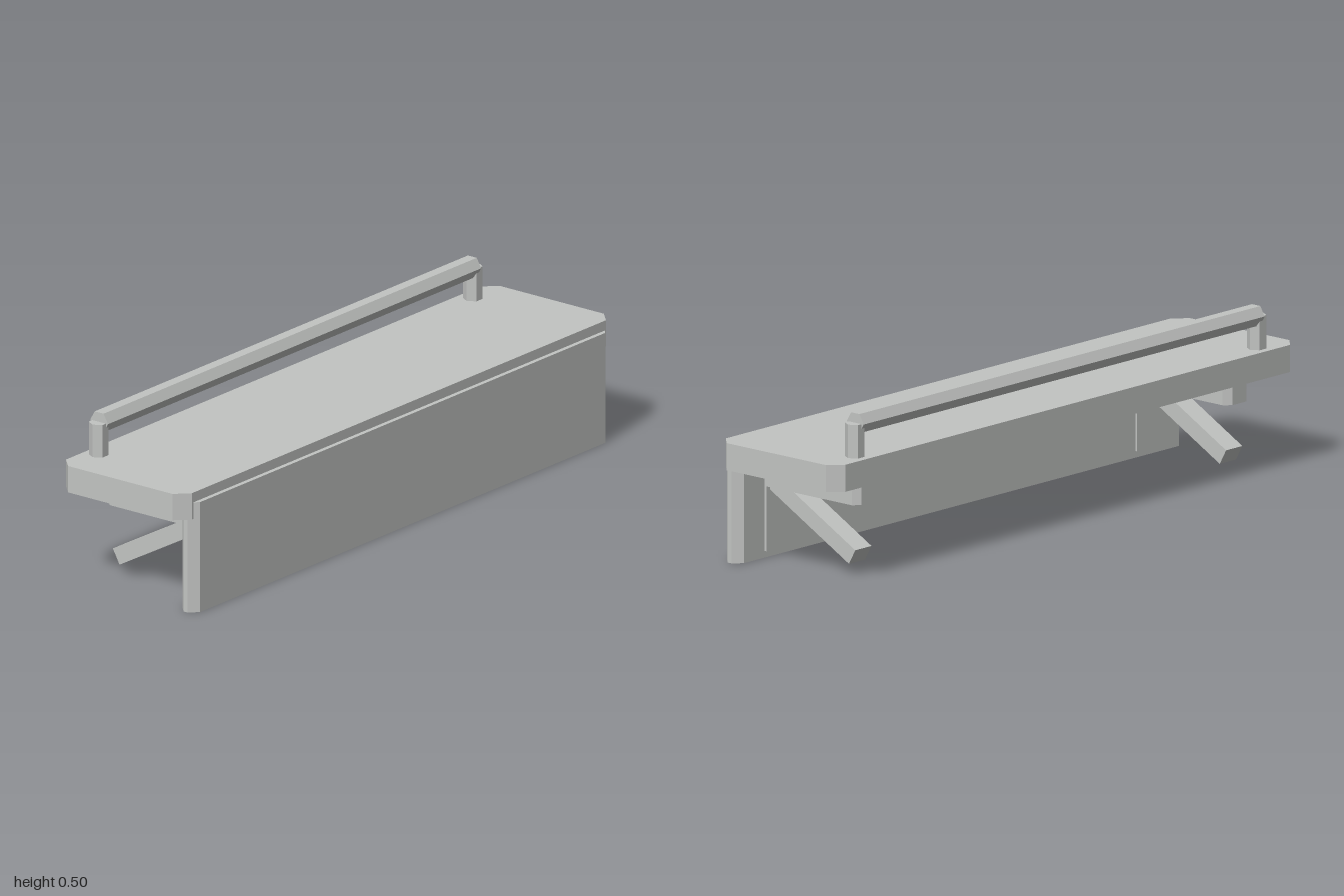
import * as THREE from 'three';

const grey = new THREE.MeshStandardMaterial({ color: 0xc2c4c2 });
grey.name = 'grey';

function part(name, geometry, x = 0, y = 0, z = 0) {
  const mesh = new THREE.Mesh(geometry, grey);
  mesh.name = name;
  mesh.position.set(x, y, z);
  return mesh;
}

// Upright block whose four vertical corners are cut off by c
function chamferedSlab(width, height, depth, c) {
  const w = width / 2, d = depth / 2;
  const shape = new THREE.Shape([
    [w - c, -d], [w, -d + c], [w, d - c], [w - c, d],
    [-w + c, d], [-w, d - c], [-w, -d + c], [-w + c, -d],
  ].map(([x, y]) => new THREE.Vector2(x, y)));
  return new THREE.ExtrudeGeometry(shape, { depth: height, bevelEnabled: false })
    .rotateX(-Math.PI / 2);
}

// Six-sided rod with flat faces
function hexRod(radius, length) {
  const geometry = new THREE.CylinderGeometry(radius, radius, length, 6).toNonIndexed();
  geometry.computeVertexNormals();
  return geometry;
}

export function createModel() {
  const model = new THREE.Group();
  model.name = 'counter';

  // Worktop and front panel
  model.add(part('worktop', chamferedSlab(2, 0.081, 0.467, 0.04), 0, 0.287, -0.0065));
  model.add(part('frontPanel', chamferedSlab(1.93, 0.338, 0.066, 0.026), 0, 0, 0.208));

  // Rear rail
  model.add(part('rail', hexRod(0.033, 1.73).rotateZ(Math.PI / 2), 0, 0.468, -0.193));

  for (const side of [-1, 1]) {
    const name = side > 0 ? 'left' : 'right';

    // Rail post
    model.add(part(name + 'Post', hexRod(0.029, 0.11).rotateY(Math.PI / 2),
      side * 0.867, 0.413, -0.193));

    // Bracket under the worktop: wall plate, arm and sloping brace
    const bracket = new THREE.Group();
    bracket.name = name + 'Bracket';
    bracket.position.x = side * 0.8;
    bracket.add(part('wallPlate', new THREE.BoxGeometry(0.1, 0.267, 0.03), 0, 0.1535, 0.183));
    bracket.add(part('arm', chamferedSlab(0.1, 0.074, 0.386, 0.02), 0, 0.214, 0.007));
    const brace = part('brace', new THREE.BoxGeometry(0.07, 0.051, 0.367), 0, 0.143, 0.007);
    brace.rotation.x = -0.504;
    bracket.add(brace);
    model.add(bracket);
  }

  return model;
}
